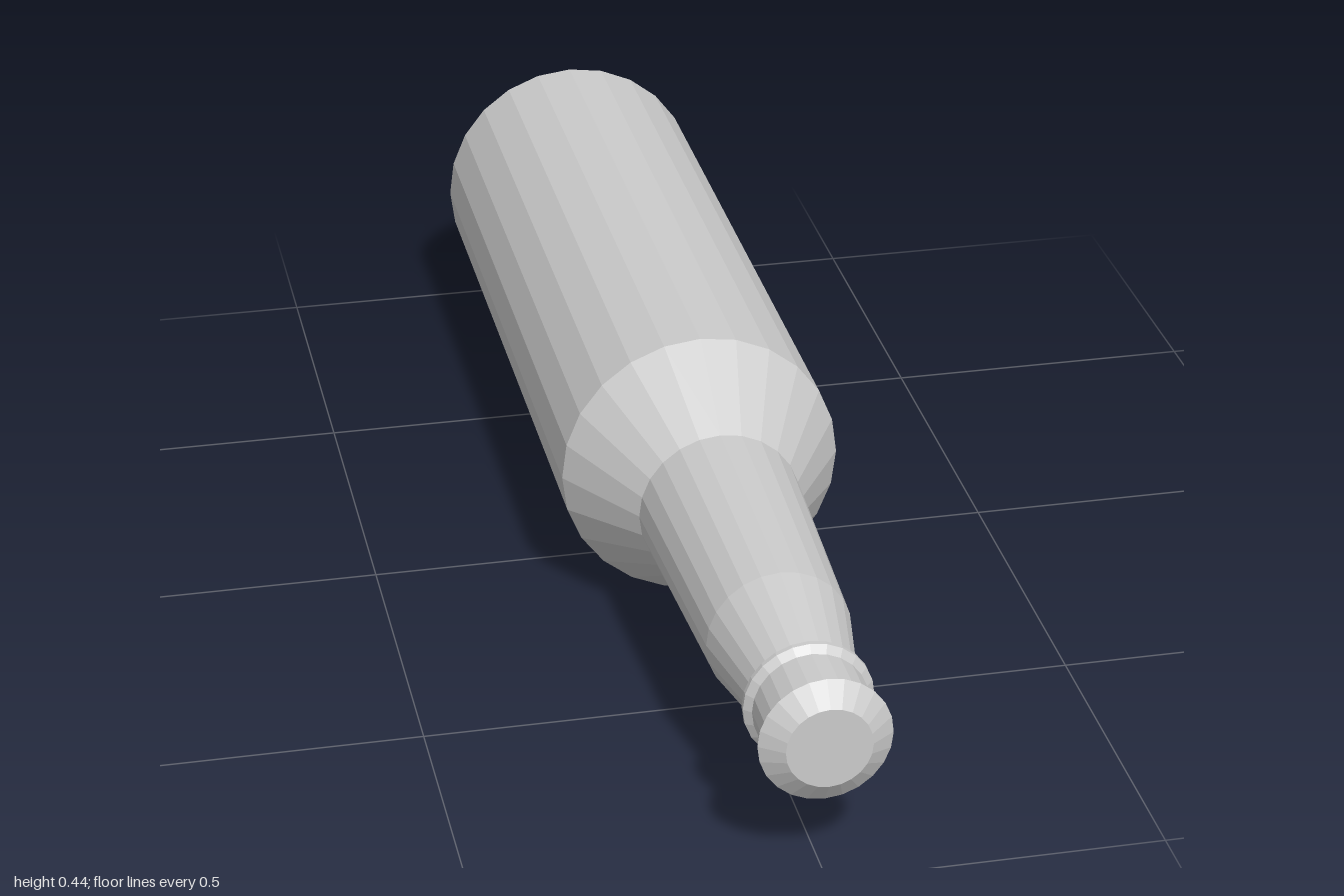
import * as THREE from 'three';

const SIDES = 24;
const AXIS_HEIGHT = 0.22;

export function createModel() {
  const bottle = new THREE.Group();
  bottle.name = 'bottle';
  const material = new THREE.MeshStandardMaterial({ color: 0xcccccc, flatShading: true });

  // Each part is turned from [radius, z] pairs running from back to front
  function turned(name, profile) {
    const points = profile.map(([r, z]) => new THREE.Vector2(r, z));
    const geometry = new THREE.LatheGeometry(points, SIDES);
    geometry.rotateX(Math.PI / 2);
    const mesh = new THREE.Mesh(geometry, material);
    mesh.name = name;
    mesh.position.y = AXIS_HEIGHT;
    bottle.add(mesh);
  }

  // Closed base with a bevelled rim, and the straight body
  turned('base', [[0, -1], [0.185, -1], [0.22, -0.957]]);
  turned('body', [[0.22, -0.957], [0.22, 0.143]]);

  // Sloping shoulder and the neck tapering in two steps
  turned('shoulder', [[0.22, 0.143], [0.127, 0.29]]);
  turned('neck', [[0.127, 0.29], [0.109, 0.69], [0.078, 0.86]]);

  // Raised ring, waist and closed, bevelled lip
  turned('neckRing', [[0.078, 0.86], [0.096, 0.866], [0.096, 0.874], [0.085, 0.884]]);
  turned('mouthWaist', [[0.085, 0.884], [0.085, 0.962]]);
  turned('lip', [[0.085, 0.962], [0.098, 0.975], [0.063, 1], [0, 1]]);

  return bottle;
}
